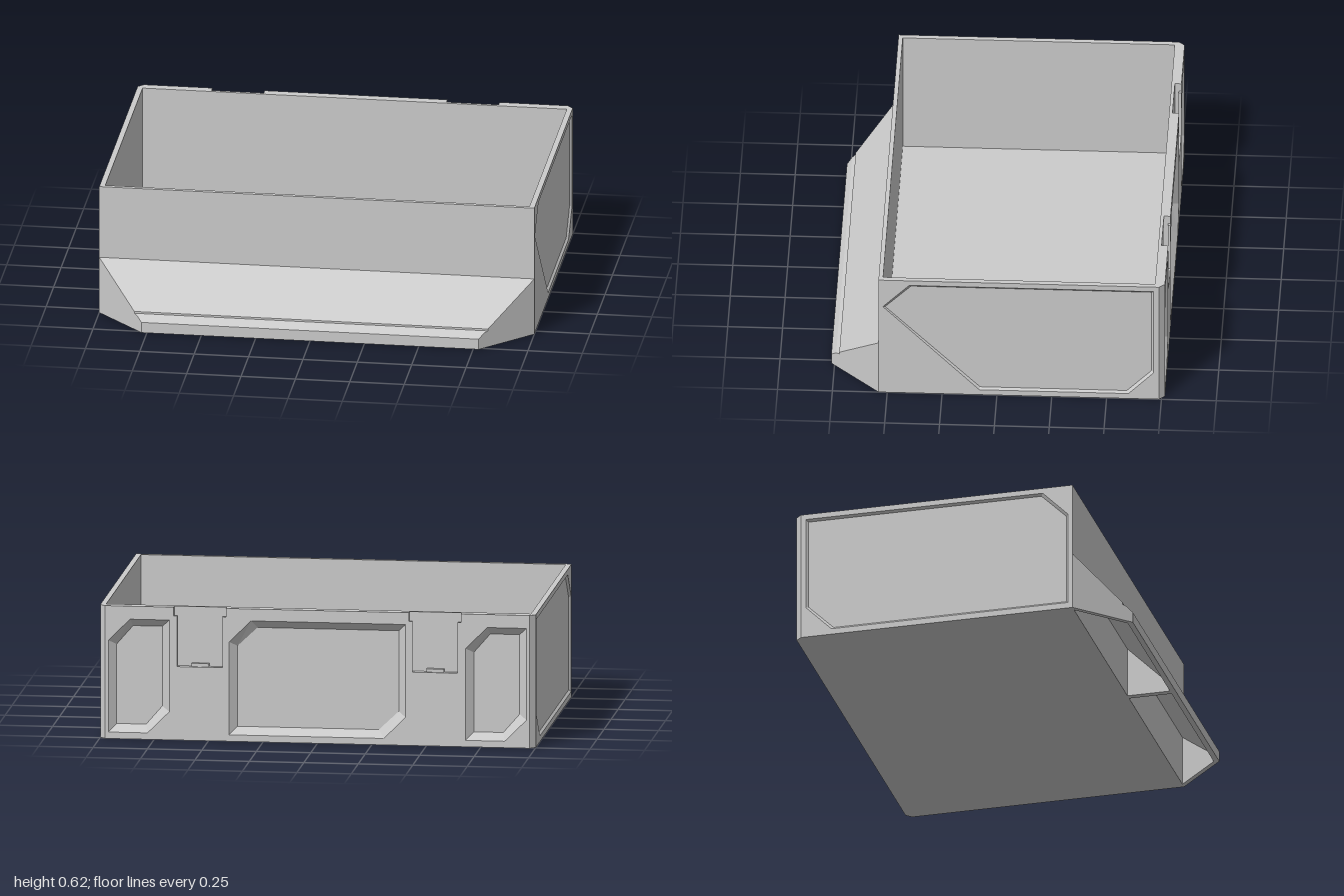
import * as THREE from 'three';

const mat = new THREE.MeshStandardMaterial({ color: 0xcccccc, flatShading: true, side: THREE.DoubleSide });
const H = 0.615, FRONT = 0.54, BACK = -0.735, SKIN = 0.01, BACK_SKIN = 0.03;

function mesh(name, geo, parent) {
  const m = new THREE.Mesh(geo, mat);
  m.name = name;
  parent.add(m);
  return m;
}
const shapeOf = pts => new THREE.Shape(pts.map(p => new THREE.Vector2(p[0], p[1])));
const extrude = (shape, depth) => new THREE.ExtrudeGeometry(shape, { depth, bevelEnabled: false });

// geometry from a list of four-cornered faces
function quads(list) {
  const pos = [];
  for (const [a, b, c, d] of list) pos.push(...a, ...b, ...c, ...a, ...c, ...d);
  const g = new THREE.BufferGeometry();
  g.setAttribute('position', new THREE.Float32BufferAttribute(pos, 3));
  g.computeVertexNormals();
  return g;
}

// rectangle with its top-left and bottom-right corners cut off
const cutRect = (x0, x1, y0, y1, c) =>
  [[x0, y0], [x1 - c, y0], [x1, y0 + c], [x1, y1], [x0 + c, y1], [x0, y1 - c]];

// outer skin facing +z with bevelled recesses
function recessedPlate(name, outline, recesses, depth, bevel) {
  const g = new THREE.Group();
  g.name = name;
  const shape = shapeOf(outline);
  for (const r of recesses) {
    shape.holes.push(new THREE.Path(r.map(p => new THREE.Vector2(p[0], p[1]))));
    const box = new THREE.Box2().setFromPoints(r.map(p => new THREE.Vector2(p[0], p[1])));
    const c = box.getCenter(new THREE.Vector2()), s = box.getSize(new THREE.Vector2());
    const inner = p => [c.x + (p[0] - c.x) * (1 - 2 * bevel / s.x), c.y + (p[1] - c.y) * (1 - 2 * bevel / s.y), 0];
    mesh(name + 'RecessBevel', quads(r.map((p, i) => {
      const q = r[(i + 1) % r.length];
      return [[...p, depth], [...q, depth], inner(q), inner(p)];
    })), g);
  }
  mesh(name + 'Skin', extrude(shape, depth), g);
  return g;
}

// tapered surface of the front lip, following a [z, y] profile
function lipSkin(profile, inset, flip) {
  const w = z => 1 + FRONT - z - inset;
  const at = ([z, y], s) => [s * w(z), y, z];
  const faces = [];
  for (let i = 0; i < profile.length - 1; i++) {
    const p = profile[i], q = profile[i + 1], d = [FRONT, 0];
    faces.push([at(p, -1), at(q, -1), at(q, 1), at(p, 1)]);
    faces.push([at(d, 1), at(p, 1), at(q, 1), at(q, 1)]);
    faces.push([at(d, -1), at(q, -1), at(p, -1), at(p, -1)]);
  }
  return quads(flip ? faces.map(f => [f[0], f[3], f[2], f[1]]).map(f => f[0] && f) : faces);
}

export function createModel() {
  const model = new THREE.Group();
  model.name = 'storageBin';

  // open tub: walls and floor
  const ix = 1 - SKIN;
  const ring = shapeOf([[-ix, -FRONT], [ix, -FRONT], [ix, -BACK], [-ix, -BACK]]);
  ring.holes.push(shapeOf([[-0.975, -0.52], [-0.975, 0.72], [0.975, 0.72], [0.975, -0.52]]));
  mesh('walls', extrude(ring, H).rotateX(-Math.PI / 2), model);
  mesh('floor', new THREE.BoxGeometry(2 * ix, 0.02, FRONT - BACK).translate(0, 0.01, (FRONT + BACK) / 2), model);

  // left side (+x), panel with a long diagonal front edge; local x is -z
  const leftPanel = [[-0.08, 0.027], [0.6, 0.027], [0.715, 0.145], [0.715, 0.59], [-0.4, 0.59], [-0.52, 0.47]];
  const left = recessedPlate('leftSide', [[-FRONT, 0], [-BACK, 0], [-BACK, H], [-FRONT, H]], [leftPanel], SKIN, 0.01);
  left.rotation.y = Math.PI / 2;
  left.position.x = ix;

  // right side (-x), nearly full panel; local x is z
  const rightPanel = cutRect(-0.715, 0.52, 0.027, 0.59, 0.12).map(([x, y]) => [-0.195 - x, y]).reverse();
  const right = recessedPlate('rightSide', [[BACK, 0], [FRONT, 0], [FRONT, H], [BACK, H]], [rightPanel], SKIN, 0.01);
  right.rotation.y = -Math.PI / 2;
  right.position.x = -ix;

  // back with three pockets and two latch notches cut into the rim
  const e = 0.975, nx = 0.54, nw = 0.12, ny = 0.34;
  const outline = [[-e, 0], [e, 0], [e, H]];
  for (const c of [nx, -nx]) outline.push([c + nw, H], [c + nw, ny], [c - nw, ny], [c - nw, H]);
  outline.push([-e, H]);
  const pockets = [cutRect(-0.96, -0.68, 0.03, 0.555, 0.1), cutRect(-0.405, 0.405, 0.03, 0.56, 0.1),
    cutRect(0.68, 0.96, 0.03, 0.555, 0.1)];
  const back = recessedPlate('back', outline, pockets, BACK_SKIN, 0.035);
  back.rotation.y = Math.PI;
  back.position.z = BACK;
  for (const c of [nx, -nx]) {
    // retaining strips and catch of each latch notch
    for (const s of [-1, 1])
      mesh('latchGuide', new THREE.BoxGeometry(0.016, H - ny - 0.04, 0.012)
        .translate(c + s * (nw - 0.008), (H + ny) / 2 - 0.02, 0.024), back);
    mesh('latchCatch', new THREE.BoxGeometry(0.08, 0.015, 0.02).translate(c, ny + 0.0075, 0.01), back);
  }
  model.add(left, right, back);

  // chamfered rear corners
  for (const s of [-1, 1]) {
    const tri = [[s * e, -BACK], [s, -BACK], [s, -BACK + 0.004], [s * e, -BACK + BACK_SKIN]];
    mesh('rearCorner', extrude(shapeOf(tri), H).rotateX(-Math.PI / 2), model);
  }

  // sloped front lip, hollow underneath, with a fine step near its toe
  const lip = new THREE.Group();
  lip.name = 'frontLip';
  const outer = [[FRONT, 0.27], [0.727, 0.087], [0.727, 0.078], [0.742, 0.073], [0.765, 0.05], [0.765, 0]];
  const inner = [[FRONT, 0.235], [0.715, 0.06], [0.74, 0.035], [0.74, 0]];
  mesh('lipOuter', lipSkin(outer, 0, false), lip);
  mesh('lipInner', lipSkin(inner, 0.03, true), lip);
  const rim = (z, inset) => {
    const w = 1 + FRONT - z - inset;
    return [[1 - inset, 0, FRONT], [w, 0, z], [-w, 0, z], [-1 + inset, 0, FRONT]];
  };
  const ro = rim(0.765, 0), ri = rim(0.74, 0.03);
  mesh('lipRim', quads([0, 1, 2].map(i => [ro[i], ro[i + 1], ri[i + 1], ri[i]])), lip);
  // centre rib inside the lip; shape x is -z after the turn
  const rib = shapeOf([[-FRONT, 0], [-FRONT, 0.24], [-0.72, 0.06], [-0.745, 0.035], [-0.745, 0]]);
  mesh('lipRib', extrude(rib, 0.03).rotateY(Math.PI / 2).translate(-0.015, 0, 0), lip);
  model.add(lip);

  return model;
}
